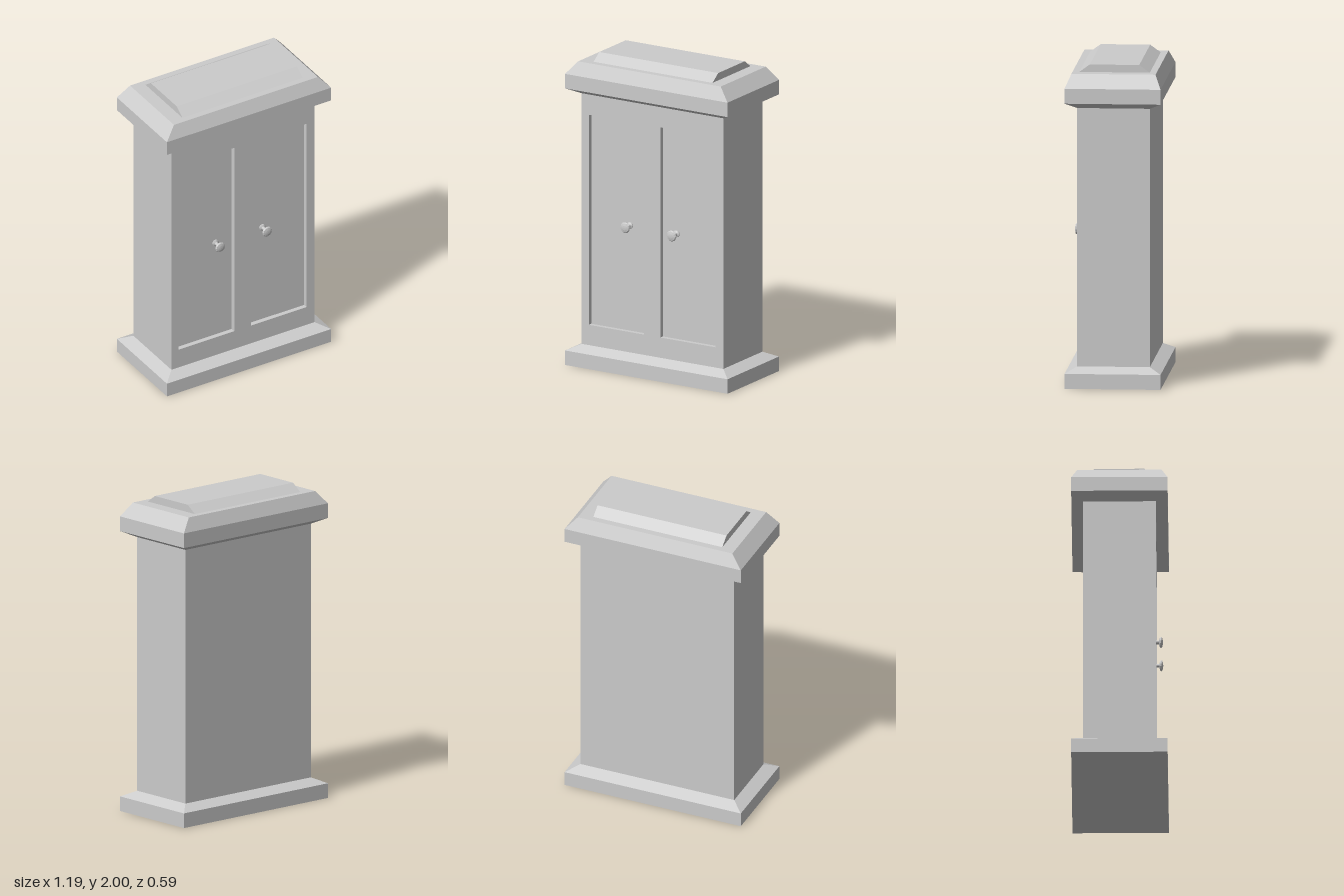
import * as THREE from 'three';

const material = new THREE.MeshStandardMaterial({ color: 0xcccccc, flatShading: true });

function add(parent, name, geometry) {
  const mesh = new THREE.Mesh(geometry, material);
  mesh.name = name;
  parent.add(mesh);
  return mesh;
}

// Closed solid from stacked rectangles, each given as [halfWidth, y, halfDepth]
function rectLoft(rings) {
  const pos = [], index = [];
  for (const [x, y, z] of rings) pos.push(-x, y, z, x, y, z, x, y, -z, -x, y, -z);
  for (let r = 0; r < rings.length - 1; r++) {
    for (let i = 0; i < 4; i++) {
      const a = r * 4 + i, b = r * 4 + (i + 1) % 4;
      index.push(a, b, b + 4, a, b + 4, a + 4);
    }
  }
  const t = (rings.length - 1) * 4;
  index.push(0, 2, 1, 0, 3, 2, t, t + 1, t + 2, t, t + 2, t + 3);
  const g = new THREE.BufferGeometry();
  g.setAttribute('position', new THREE.Float32BufferAttribute(pos, 3));
  g.setIndex(index);
  const flat = g.toNonIndexed();
  flat.computeVertexNormals();
  return flat;
}

// Rectangle outline between two corners
function rectPoints(x0, y0, x1, y1) {
  return [[x0, y0], [x1, y0], [x1, y1], [x0, y1]].map(([x, y]) => new THREE.Vector2(x, y));
}

export function createModel() {
  const group = new THREE.Group();
  group.name = 'cabinet';

  const W = 0.517, D = 0.225, recess = 0.03;
  const bottom = 0.13, top = 1.74;

  // Plinth with a sloped upper edge
  add(group, 'plinth', rectLoft([[0.593, 0, 0.297], [0.593, 0.093, 0.297], [W, bottom, D]]));

  // Carcass behind the door fronts
  const body = add(group, 'body', new THREE.BoxGeometry(2 * W, top - bottom, 2 * D - recess));
  body.position.set(0, (top + bottom) / 2, -recess / 2);

  // Front frame with two sunken door panels
  const frame = new THREE.Shape(rectPoints(-W, bottom, W, top));
  for (const [x0, x1] of [[-0.465, -0.063], [0.058, 0.46]]) {
    frame.holes.push(new THREE.Path(rectPoints(x0, 0.26, x1, 1.61).reverse()));
  }
  const front = add(group, 'frontFrame',
    new THREE.ExtrudeGeometry(frame, { depth: recess, bevelEnabled: false }));
  front.position.z = D - recess;

  // Cornice flaring out from the body and chamfered above
  add(group, 'cornice', rectLoft([
    [W, top, D], [0.593, 1.777, 0.297], [0.593, 1.87, 0.297], [0.52, 1.953, 0.26],
  ]));

  // Raised crown with sloped front and back
  add(group, 'crown', rectLoft([[0.434, 1.953, 0.218], [0.434, 2, 0.153]]));

  // Round door knobs on short stems
  const profile = [
    [0, 0], [0.022, 0], [0.022, 0.006], [0.011, 0.012], [0.011, 0.046],
    [0.03, 0.052], [0.035, 0.059], [0.03, 0.066], [0.014, 0.07], [0, 0.071],
  ].map(([r, y]) => new THREE.Vector2(r, y));
  const knobGeometry = new THREE.LatheGeometry(profile, 12).rotateX(Math.PI / 2);
  for (const [name, x] of [['rightKnob', -0.182], ['leftKnob', 0.157]]) {
    add(group, name, knobGeometry).position.set(x, 0.935, D - recess);
  }

  return group;
}
